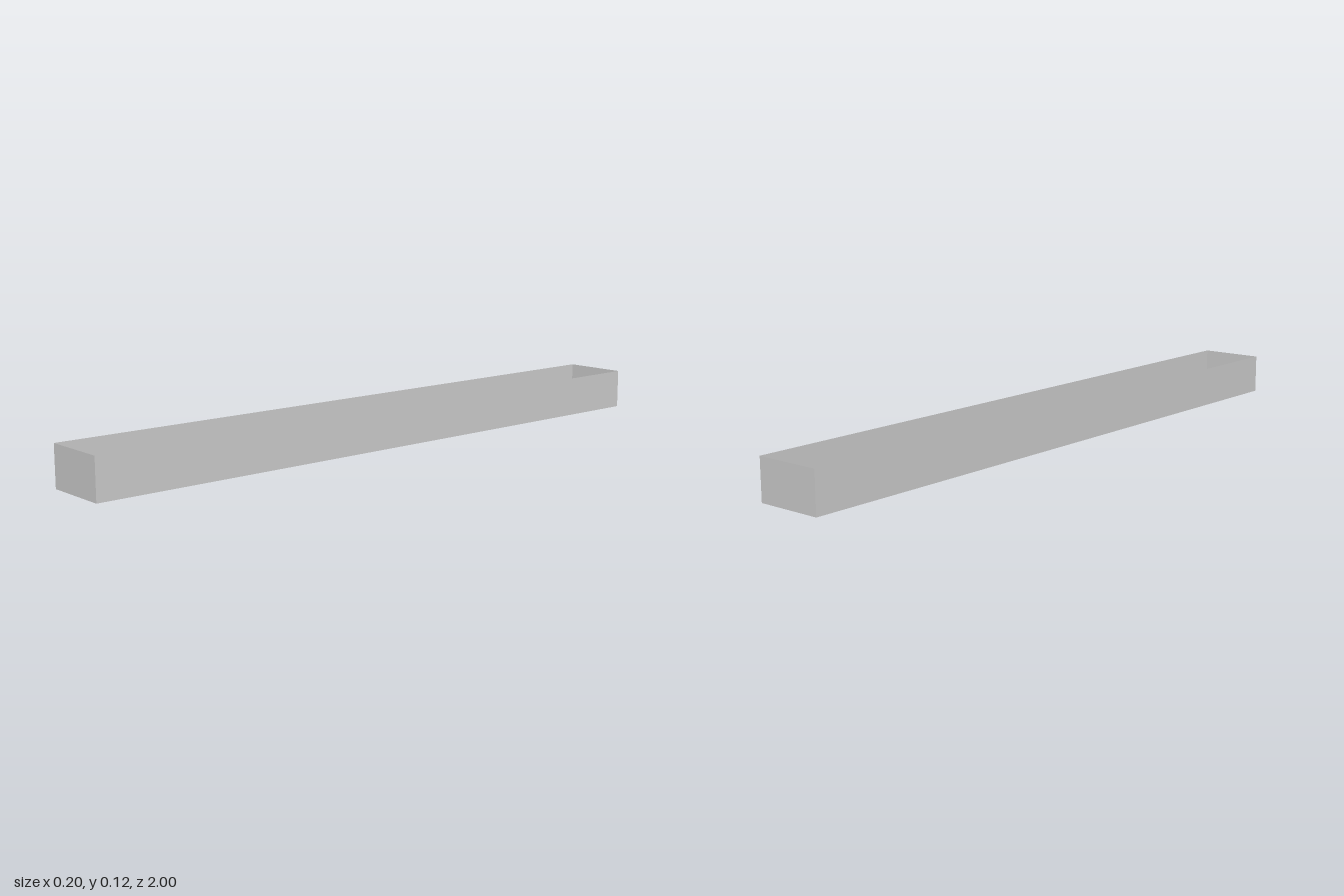
import * as THREE from 'three';

const WIDTH = 0.2, HEIGHT = 0.12, LENGTH = 2;

// Long open-topped trough made of thin sheets
export function createModel() {
  const group = new THREE.Group();
  group.name = 'trough';
  const material = new THREE.MeshStandardMaterial({
    color: 0xcccccc, flatShading: true, side: THREE.DoubleSide,
  });

  const addPanel = (name, w, h, position, rotation) => {
    const panel = new THREE.Mesh(new THREE.PlaneGeometry(w, h), material);
    panel.name = name;
    panel.position.set(...position);
    panel.rotation.set(...rotation);
    group.add(panel);
  };

  // Bottom, facing down
  addPanel('floor', WIDTH, LENGTH, [0, 0, 0], [Math.PI / 2, 0, 0]);

  // Side and end walls, facing outward
  for (const s of [1, -1]) {
    addPanel(s > 0 ? 'leftWall' : 'rightWall', LENGTH, HEIGHT,
      [s * WIDTH / 2, HEIGHT / 2, 0], [0, s * Math.PI / 2, 0]);
    addPanel(s > 0 ? 'frontWall' : 'backWall', WIDTH, HEIGHT,
      [0, HEIGHT / 2, s * LENGTH / 2], [0, s > 0 ? 0 : Math.PI, 0]);
  }
  return group;
}
